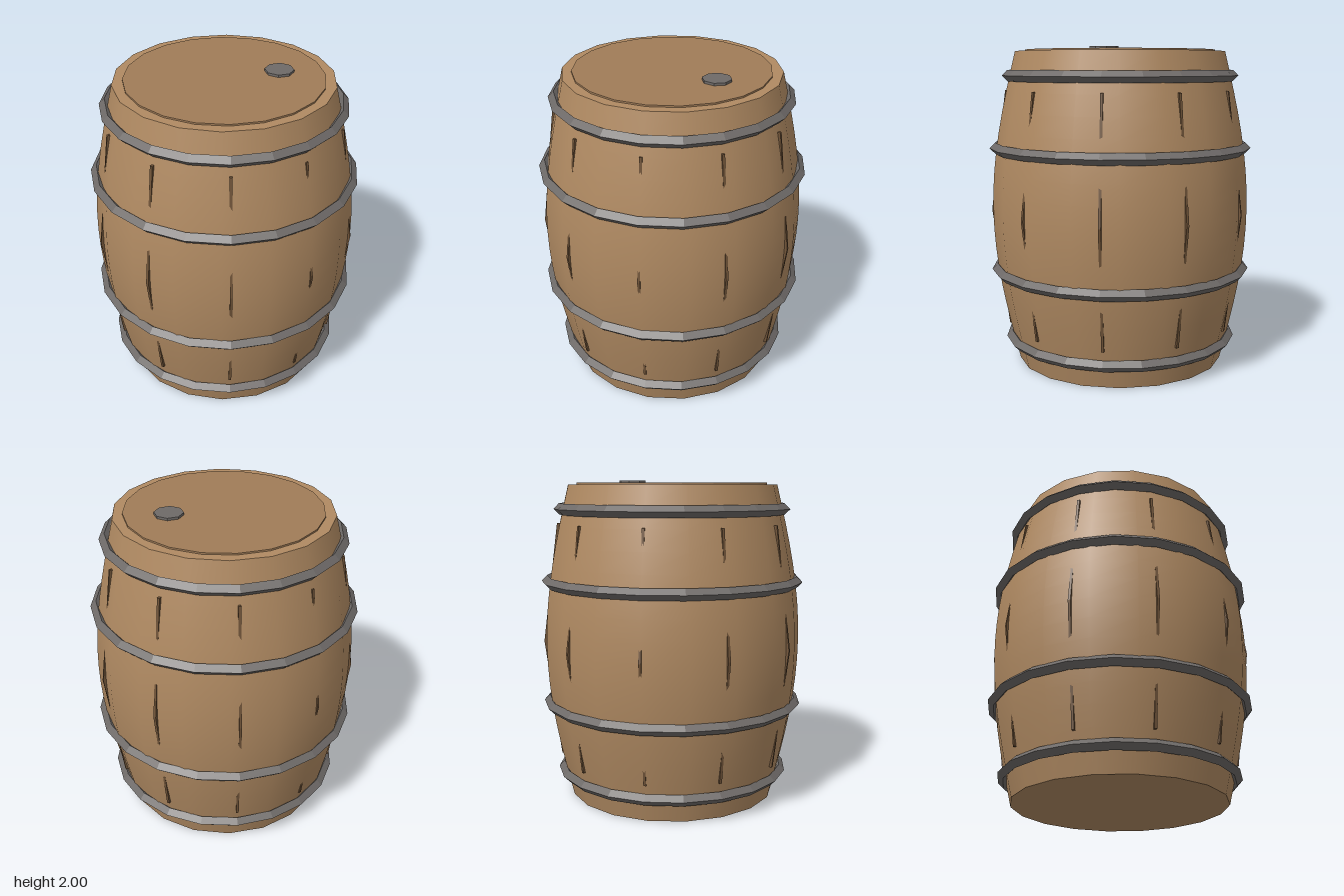
import * as THREE from 'three';

const WOOD = 0xb08a62, LID = 0xa07c58, GROOVE = 0x6f5338, IRON = 0x6e6a68;
const BODY_H = 1.975;

// Bulging barrel profile and its slope
const radiusAt = y => 0.66 + 0.155 * Math.sin(Math.PI * y / BODY_H);
const slopeAt = y => 0.155 * Math.PI / BODY_H * Math.cos(Math.PI * y / BODY_H);

function part(name, geometry, color, flatShading = false) {
  const mesh = new THREE.Mesh(geometry, new THREE.MeshStandardMaterial({ color, flatShading }));
  mesh.name = name;
  return mesh;
}

// Capped cylinder swollen by the profile, with smooth side normals
function bodyGeometry() {
  const geo = new THREE.CylinderGeometry(1, 1, BODY_H, 18, 16);
  geo.translate(0, BODY_H / 2, 0);
  const pos = geo.attributes.position, nor = geo.attributes.normal;
  for (let i = 0; i < pos.count; i++) {
    const x = pos.getX(i), y = pos.getY(i), z = pos.getZ(i);
    const r = radiusAt(y);
    pos.setXYZ(i, x * r, y, z * r);
    if (Math.abs(nor.getY(i)) < 0.5) {
      const n = new THREE.Vector3(x, -slopeAt(y), z).normalize();
      nor.setXYZ(i, n.x, n.y, n.z);
    }
  }
  return geo;
}

// Thin bent strip that breaks the surface at its ends and middle
function seamGeometry() {
  const shape = new THREE.Shape([
    [0.64, 0.24], [0.725, 0.24], [0.822, BODY_H / 2], [0.725, 1.735], [0.64, 1.735],
  ].map(([x, y]) => new THREE.Vector2(x, y)));
  const geo = new THREE.ExtrudeGeometry(shape, { depth: 0.016, bevelEnabled: false });
  return geo.translate(0, 0, -0.008);
}

export function createModel() {
  const barrel = new THREE.Group();
  barrel.name = 'barrel';

  barrel.add(part('body', bodyGeometry(), WOOD));

  // Raised lid and bung
  const lid = part('lid', new THREE.CylinderGeometry(0.597, 0.597, 0.03, 20), LID, true);
  lid.position.y = 1.97;
  barrel.add(lid);
  const bung = part('bung', new THREE.CylinderGeometry(0.088, 0.088, 0.03, 8), IRON, true);
  bung.position.set(0.298, 1.985, 0.148);
  barrel.add(bung);

  // Iron hoops with a diamond section
  for (const [y, r] of [[0.15, 0.71], [0.6, 0.795], [1.375, 0.795], [1.825, 0.71]]) {
    const hoop = part('hoop', new THREE.TorusGeometry(r, 0.035, 4, 20), IRON, true);
    hoop.rotation.x = Math.PI / 2;
    hoop.position.y = y;
    barrel.add(hoop);
  }

  // Seams between the staves
  const seam = seamGeometry();
  for (let i = 0; i < 10; i++) {
    const strip = part('staveSeam', seam, GROOVE, true);
    strip.rotation.y = Math.PI / 2 + i * Math.PI / 5;
    barrel.add(strip);
  }
  return barrel;
}
